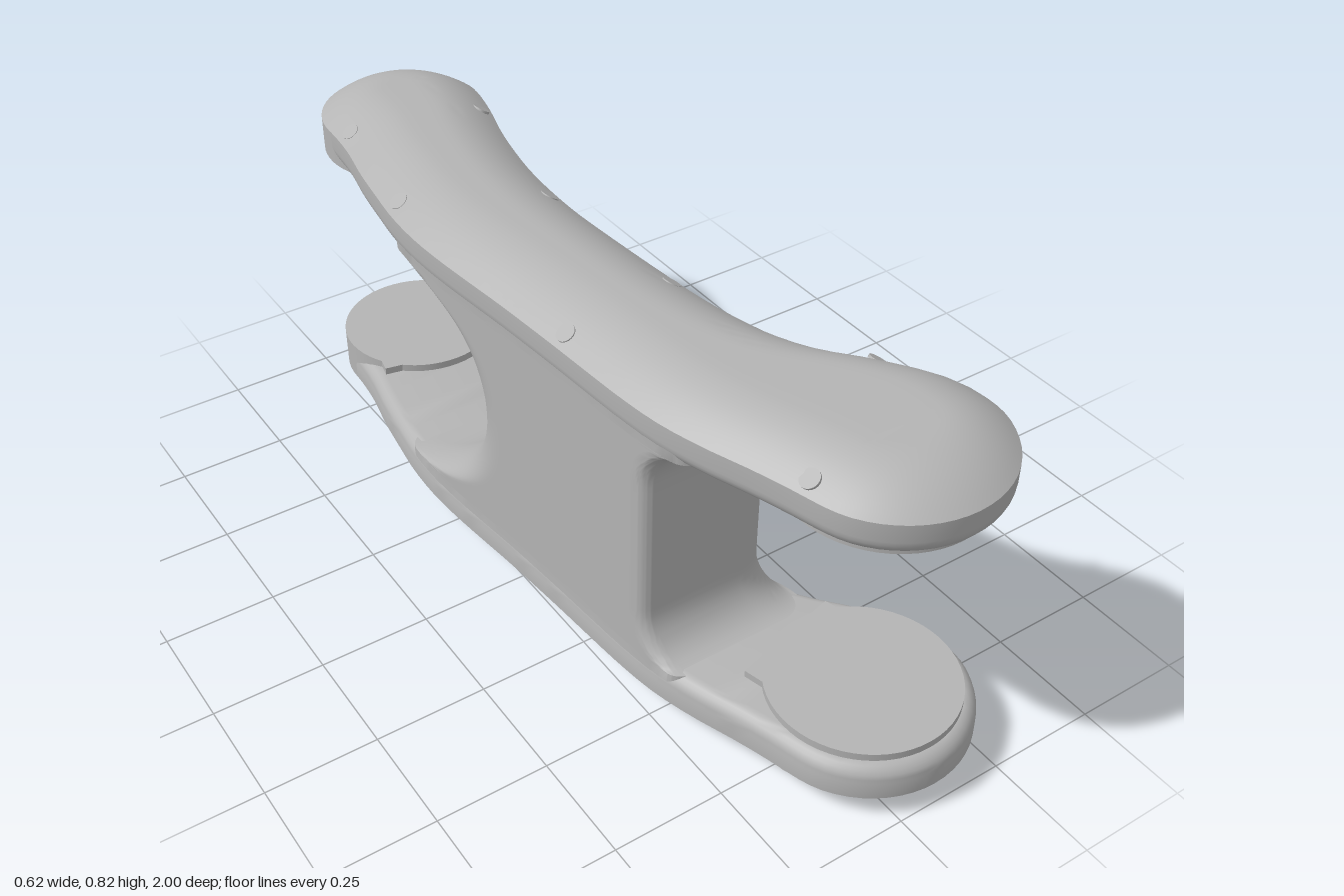
import * as THREE from 'three';
import { toCreasedNormals } from 'three/addons/utils/BufferGeometryUtils.js';

const H = 0.82;
// Left and right edges of the curved plan, every 0.1 along z from -1 to 1
const LEFT = [-0.25, -0.25, -0.25, -0.26, -0.28, -0.295, -0.308, -0.312, -0.307, -0.297, -0.286,
  -0.277, -0.269, -0.262, -0.254, -0.24, -0.213, -0.178, -0.15, -0.15, -0.15];
const RIGHT = [0.13, 0.13, 0.13, 0.11, 0.08, 0.057, 0.04, 0.032, 0.03, 0.035, 0.042,
  0.05, 0.06, 0.077, 0.105, 0.155, 0.235, 0.296, 0.31, 0.31, 0.31];

// Smooth interpolation of an edge table
function edge(table, z) {
  const s = THREE.MathUtils.clamp((z + 1) / 0.1, 0, 19.9999);
  const i = Math.floor(s), t = s - i;
  const at = (k) => table[THREE.MathUtils.clamp(k, 0, 20)];
  const a = at(i - 1), b = at(i), c = at(i + 1), d = at(i + 2);
  return b + 0.5 * t * (c - a + t * (2 * a - 5 * b + 4 * c - d + t * (3 * (b - c) + d - a)));
}

// One side of a section, back to front, with a rounded corner at each end
function ringSide(sign, { y, zb, zf, rb, inset }, rf) {
  const points = [], ARC = 14, SIDE = 40;
  const add = (z, cut) => {
    const l = edge(LEFT, z), r = edge(RIGHT, z);
    const half = Math.max((r - l) / 2 - inset - cut, 0);
    points.push([(l + r) / 2 + sign * half, y, z]);
  };
  for (let i = 0; i <= ARC; i++) {
    const a = (i / ARC) * Math.PI / 2;
    add(zb + rb * (1 - Math.cos(a)), rb * (1 - Math.sin(a)));
  }
  for (let i = 1; i < SIDE; i++) add(THREE.MathUtils.lerp(zb + rb, zf - rf, i / SIDE), 0);
  for (let i = ARC; i >= 0; i--) {
    const a = (i / ARC) * Math.PI / 2;
    add(zf - rf * (1 - Math.cos(a)), rf * (1 - Math.sin(a)));
  }
  return points;
}

const ring = (s) => [...ringSide(1, s, s.rfRight), ...ringSide(-1, s, s.rfLeft).reverse()];

// Skin a stack of rings (lowest first) and close both ends
function loft(specs, crease) {
  const rings = specs.map(ring), n = rings[0].length, index = [];
  for (let k = 0; k < rings.length - 1; k++) {
    for (let i = 0; i < n; i++) {
      const j = (i + 1) % n, a = k * n + i, b = k * n + j;
      index.push(a, a + n, b, b, a + n, b + n);
    }
  }
  const top = (rings.length - 1) * n;
  for (let i = 0; i < n / 2 - 1; i++) {
    const r0 = i, r1 = i + 1, l0 = n - 1 - i, l1 = n - 2 - i;
    index.push(top + l0, top + l1, top + r0, top + l1, top + r1, top + r0);
    index.push(l0, r0, l1, l1, r0, r1);
  }
  const g = new THREE.BufferGeometry();
  g.setAttribute('position', new THREE.Float32BufferAttribute(rings.flat(2), 3));
  g.setIndex(index);
  return toCreasedNormals(g, crease);
}

const flip = (specs) => specs.map((s) => ({ ...s, y: H - s.y })).reverse();

// Arm slab: rounded inner edge, upright wall, domed outer face
function slabSpecs() {
  const profile = [];
  for (let i = 0; i <= 6; i++) {
    const a = (i / 6) * Math.PI / 2;
    profile.push([0.72 - 0.037 * Math.cos(a), 0.035 * (1 - Math.sin(a))]);
  }
  for (let i = 0; i <= 10; i++) {
    const u = i / 10;
    profile.push([0.76 + 0.06 * (1 - (1 - u) ** 2), 0.15 * u]);
  }
  return profile.map(([y, inset]) => ({
    y, inset, zb: -1 + inset, zf: 1 - inset,
    rb: 0.19 - inset, rfLeft: 0.23 - inset, rfRight: 0.23 - inset,
  }));
}

// Web between the arms: large arc at the back, small fillet at the front
function webSpecs() {
  const half = [];
  for (let i = 0; i <= 20; i++) {
    const a = (i / 20) * Math.PI / 2, y = 0.41 + 0.275 * Math.sin(a);
    const f = THREE.MathUtils.clamp((y - 0.575) / 0.11, 0, 1);
    half.push({
      y, zb: -0.43 + 0.28 * Math.cos(a), zf: 0.46 + 0.1 * (1 - Math.sqrt(1 - f * f)),
      rb: 0.13 - 0.08 * Math.sin(a) ** 6, rfLeft: 0.03, rfRight: 0.13,
      inset: 0.004,
    });
  }
  half.push({ ...half[20], y: 0.73, inset: 0.001 });
  return [...flip(half.slice(1)), ...half];
}

export function createModel() {
  const model = new THREE.Group();
  const grey = new THREE.MeshStandardMaterial({ color: 0xb4b4b4 });
  grey.name = 'plain grey';
  const add = (name, geometry, x = 0, y = 0, z = 0) => {
    const m = new THREE.Mesh(geometry, grey);
    m.name = name;
    m.position.set(x, y, z);
    model.add(m);
    return m;
  };

  add('upperArm', loft(slabSpecs(), 0.6));
  add('lowerArm', loft(flip(slabSpecs()), 0.6));
  add('web', loft(webSpecs(), 0.7));

  // Round pads on the inner faces, each with a tab toward the web
  const pad = (name, x, z, r, y0, y1, tx, tz, turn) => {
    add(name, new THREE.CylinderGeometry(r, r, y1 - y0, 56), x, (y0 + y1) / 2, z);
    const thin = 0.03, ty = y0 > 0.41 ? y0 + thin / 2 : y1 - thin / 2;
    add(name + 'Tab', new THREE.BoxGeometry(0.27, thin, 0.12), tx, ty, tz).rotation.y = turn;
  };
  pad('upperFrontPad', 0.08, 0.77, 0.202, 0.67, 0.71, 0.04, 0.65, 0.25);
  pad('lowerFrontPad', 0.08, 0.77, 0.202, 0.11, 0.153, 0.04, 0.65, 0.25);
  pad('upperBackPad', -0.06, -0.81, 0.19, 0.68, 0.76, -0.085, -0.71, -0.2);
  pad('lowerBackPad', -0.06, -0.81, 0.19, 0.06, 0.155, -0.085, -0.71, -0.2);

  // Socket-head screws hanging from the upper arm
  const screw = new THREE.LatheGeometry([
    [0, 0.02], [0.011, 0.02], [0.011, 0], [0.021, 0], [0.021, 0.06], [0, 0.06],
  ].map(([x, y]) => new THREE.Vector2(x, y)), 24);
  const screwGeometry = toCreasedNormals(screw, 0.6);
  for (const [x, y, z] of [[-0.08, 0.638, 0.59], [0.127, 0.638, 0.535],
    [-0.222, 0.65, -0.655], [0.028, 0.65, -0.6]]) add('screw', screwGeometry, x, y, z);

  // Small round plugs along the domed edges, above and below
  const plug = new THREE.CylinderGeometry(0.021, 0.021, 0.006, 20);
  const up = new THREE.Vector3(0, 1, 0);
  for (const [table, side, zs] of [[LEFT, -1, [-0.75, -0.42, 0.19, 0.79]],
    [RIGHT, 1, [-0.68, -0.26, 0.16, 0.59]]]) {
    for (const z of zs) {
      for (const v of [1, -1]) {
        const m = add('edgePlug', plug, edge(table, z) - side * 0.028, 0.41 + v * 0.369, z);
        m.quaternion.setFromUnitVectors(up, new THREE.Vector3(side * 0.55, v * 0.83, 0).normalize());
      }
    }
  }
  return model;
}
